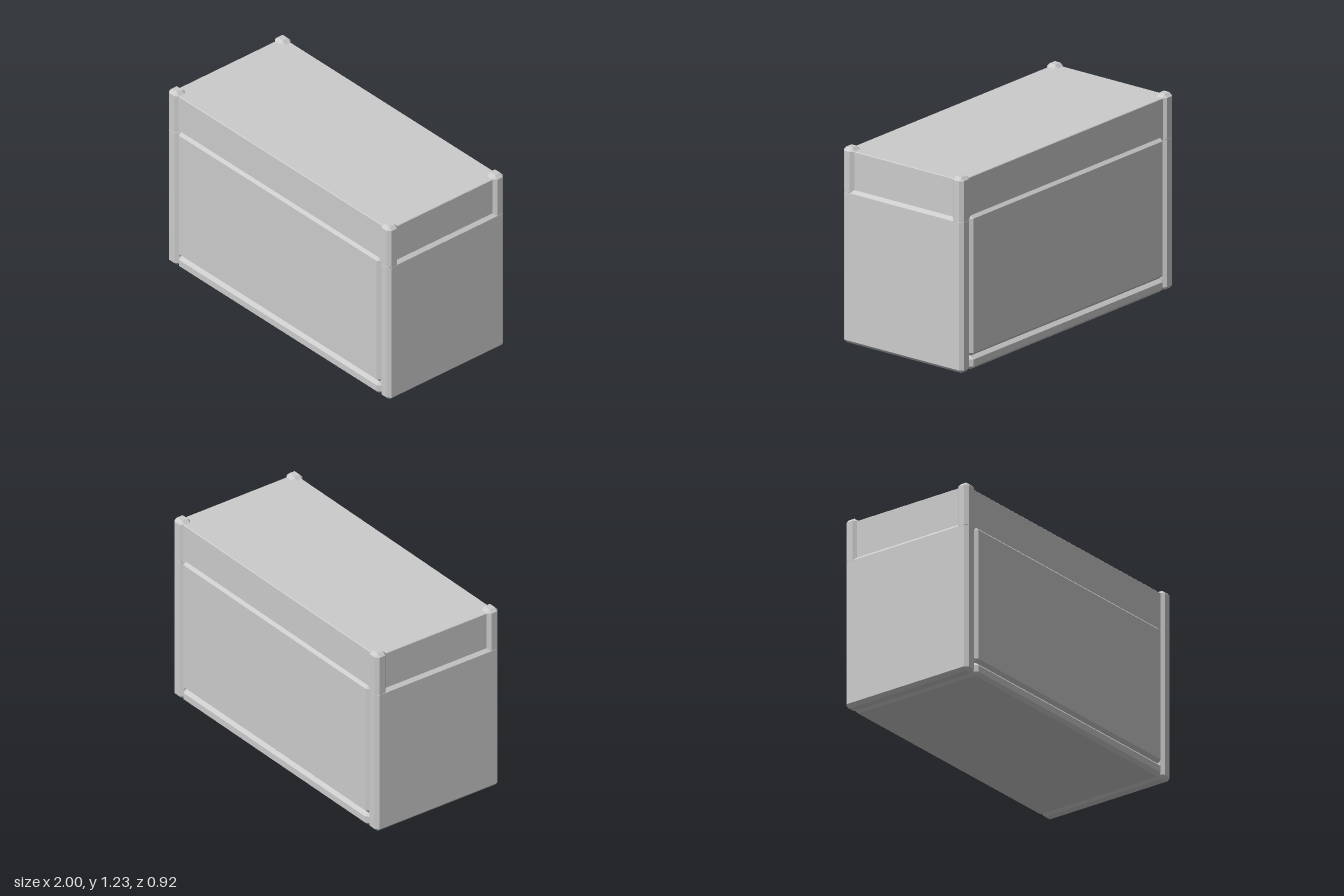
import * as THREE from 'three';
import { ConvexGeometry } from 'three/addons/geometries/ConvexGeometry.js';

const material = new THREE.MeshStandardMaterial({ color: 0xcccccc, flatShading: true });

// Box given by its min and max corners, with every edge bevelled by c
function bevelBox(name, min, max, c) {
  const h = max.map((v, i) => (v - min[i]) / 2);
  const points = [];
  for (const sx of [-1, 1]) for (const sy of [-1, 1]) for (const sz of [-1, 1]) {
    for (let axis = 0; axis < 3; axis++) {
      const p = h.map((v, i) => (i === axis ? v : v - c));
      points.push(new THREE.Vector3(sx * p[0], sy * p[1], sz * p[2]));
    }
  }
  const mesh = new THREE.Mesh(new ConvexGeometry(points), material);
  mesh.name = name;
  mesh.position.set(...max.map((v, i) => (v + min[i]) / 2));
  return mesh;
}

export function createModel() {
  const group = new THREE.Group();
  group.name = 'chest';
  const bevel = 0.021, depth = 0.458, inner = 0.91;

  // Base board and main body between the side panels
  group.add(bevelBox('baseBoard', [-inner, 0, -depth], [inner, 0.085, depth], bevel));
  group.add(bevelBox('body', [-inner, 0.085, -depth], [inner, 0.97, depth], bevel));

  // Top block, slightly set back on all sides
  group.add(bevelBox('topBlock', [-0.98, 0.94, -0.44], [0.98, 1.21, 0.44], 0.004));

  // Side panels, each carrying two corner posts
  for (const s of [-1, 1]) {
    const x0 = s > 0 ? inner : -1, x1 = s > 0 ? 1 : -inner;
    const side = s > 0 ? 'left' : 'right';
    group.add(bevelBox(side + 'SidePanel', [x0, 0, -depth], [x1, 0.97, depth], bevel));
    for (const t of [-1, 1]) {
      const z0 = t > 0 ? 0.375 : -depth, z1 = t > 0 ? depth : -0.375;
      const name = side + (t > 0 ? 'Front' : 'Back') + 'Post';
      group.add(bevelBox(name, [x0, 0.93, z0], [x1, 1.23, z1], bevel));
    }
  }
  return group;
}
